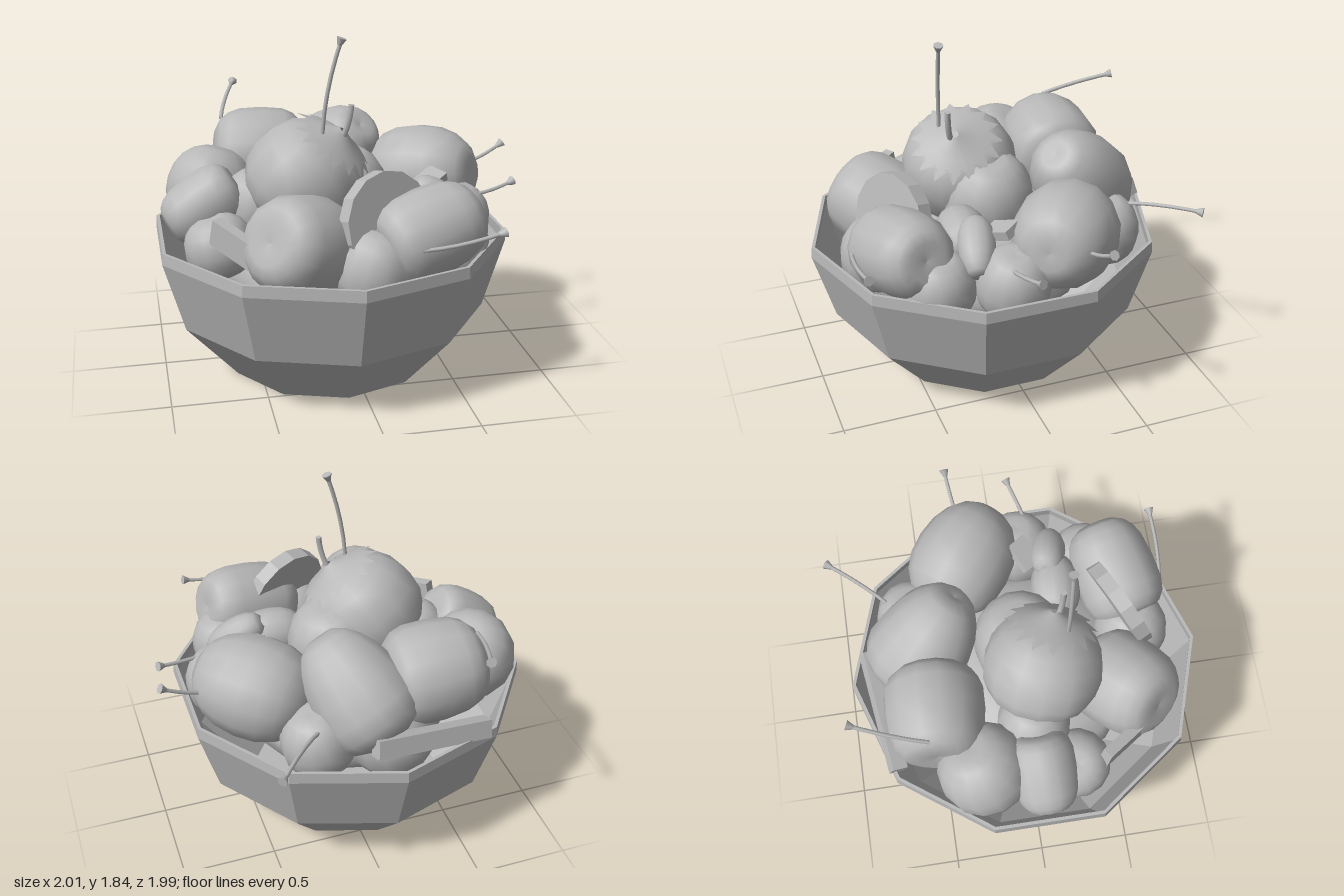
import * as THREE from 'three';

const UP = new THREE.Vector3(0, 1, 0);
const V = (a) => new THREE.Vector3(...a);

// Unit fruit: a squarish oval turned round its axis, narrowed at the top, dimpled at both ends
function fruitGeometry(squareness, taper) {
  const points = [];
  for (let i = 0; i <= 10; i++) {
    const a = (i / 10 - 0.5) * Math.PI;
    const x = Math.max(Math.cos(a), 0.0001) ** squareness;
    const y = Math.sign(a) * Math.abs(Math.sin(a)) ** squareness;
    const dimple = 1 - 0.1 * Math.max(0, 1 - x / 0.4);
    points.push(new THREE.Vector2(i % 10 ? x * (1 - taper * (y + 0.3)) : 0, y * dimple));
  }
  return new THREE.LatheGeometry(points, 14);
}

export function createModel() {
  const model = new THREE.Group();
  const grey = new THREE.MeshStandardMaterial({ color: 0xb8b8b8, side: THREE.DoubleSide });
  grey.name = 'grey';

  const add = (name, geometry, pos = [0, 0, 0], axis = [0, 1, 0], parent = model) => {
    const mesh = new THREE.Mesh(geometry, grey);
    mesh.name = name;
    mesh.position.set(...pos);
    mesh.quaternion.setFromUnitVectors(UP, V(axis).normalize());
    parent.add(mesh);
    return mesh;
  };
  const flat = (geometry) => {
    const g = geometry.toNonIndexed();
    g.computeVertexNormals();
    return g;
  };

  // Ten-sided bowl with a thin rim and open inside
  const wall = [[0, 0], [0.56, 0], [0.848, 0.33], [0.96, 0.715], [0.955, 0.775]];
  const inner = wall.slice().reverse().map(([r, y]) => [Math.max(0, r - 0.018), y < 0.7 ? y + 0.02 : y]);
  const section = [...wall, ...inner].map(([r, y]) => new THREE.Vector2(r, y));
  add('bowl', flat(new THREE.LatheGeometry(section, 10)), [-0.09, 0, 0.03]);

  // Large fruit: name, shape, centre, radius across, half length, axis
  const round = fruitGeometry(0.9, 0.05);
  const barrel = fruitGeometry(0.65, 0.06);
  const pear = fruitGeometry(0.8, 0.22);
  const fruit = (name, shape, pos, r, h, axis) => add(name, shape, pos, axis).scale.set(r, h, r);
  fruit('tomato', round, [-0.22, 1.07, 0.11], 0.325, 0.29, [0.55, 0.8, 0.25]);
  fruit('backLeftApple', barrel, [-0.395, 1.03, -0.49], 0.27, 0.265, [-1, 0.1, -0.05]);
  fruit('backPear', pear, [0.04, 1.01, -0.48], 0.28, 0.33, [0.35, 0.6, 0.5]);
  fruit('rightApple', round, [0.5, 0.94, -0.22], 0.28, 0.33, [0.75, 0.15, 0.6]);
  fruit('leftBackApple', round, [-0.69, 0.92, -0.28], 0.25, 0.23, [0.3, 0.9, -0.3]);
  fruit('leftApple', barrel, [-0.76, 0.92, 0.03], 0.18, 0.22, [-0.8, -0.5, 0.05]);
  fruit('leftSmallFruit', round, [-0.7, 0.76, 0.22], 0.19, 0.17, [-0.3, 1, 0]);
  fruit('frontLeftApple', barrel, [-0.33, 0.85, 0.55], 0.27, 0.26, [-0.6, 0.3, 0.5]);
  fruit('frontRightPear', barrel, [0.32, 0.9, 0.6], 0.235, 0.285, [0.9, 0.25, -0.22]);
  fruit('rightBerry', round, [0.27, 0.91, 0.26], 0.14, 0.19, [1, 0, 0.1]);
  fruit('rightCurvedFruit', round, [0.47, 0.94, 0.25], 0.1, 0.18, [0.8, -0.5, 0.2]);
  fruit('coreFruit', round, [-0.08, 0.58, 0.05], 0.6, 0.26, UP.toArray());

  // Rounder small fruit filling the gaps: centre and radius
  const small = (name, x, y, z, r) => fruit(name, round, [x, y, z], r, r, [0.2, 1, 0]);
  small('frontCherry', 0.03, 0.75, 0.65, 0.21);
  small('frontRightCherry', 0.48, 0.76, 0.46, 0.2);
  small('rightCherry', 0.6, 0.78, 0.1, 0.2);
  small('backRightCherry', 0.26, 0.79, -0.55, 0.2);
  small('middleApple', -0.02, 0.95, 0.02, 0.26);
  small('innerLeftFruit', -0.48, 0.9, 0.02, 0.2);
  small('backFruit', -0.15, 0.72, -0.5, 0.25);

  // Spiky calyx draped over the tomato: the rim alternates tip and notch
  const spikes = 15;
  const calyx = new THREE.RingGeometry(0.02, 0.25, spikes * 2, 4);
  calyx.rotateX(-Math.PI / 2);
  const p = calyx.attributes.position;
  for (let i = 0; i < p.count; i++) {
    const r = Math.hypot(p.getX(i), p.getZ(i));
    const column = i % (spikes * 2 + 1);
    const k = r > 0.22 && column % 2 ? 0.72 : 1;
    const y = 0.04 * Math.max(0, 1 - r / 0.1) - 1.2 * (r * k) ** 2;
    p.setXYZ(i, p.getX(i) * k, y, p.getZ(i) * k);
  }
  calyx.computeVertexNormals();
  add('calyx', calyx, [-0.055, 1.31, 0.185], [0.55, 0.8, 0.25]);

  // Curved stems with a flared end: start, bend, end
  const stem = (name, a, b, c, r = 0.011, head = 0.027) => {
    const curve = new THREE.QuadraticBezierCurve3(V(a), V(b), V(c));
    const group = new THREE.Group();
    group.name = name;
    model.add(group);
    add('stalk', new THREE.TubeGeometry(curve, 6, r, 6), [0, 0, 0], [0, 1, 0], group);
    const dir = curve.getTangent(1);
    const mid = V(c).addScaledVector(dir, -0.02);
    add('stalkEnd', new THREE.CylinderGeometry(head, r, 0.04, 7), mid.toArray(), dir.toArray(), group);
  };
  stem('tomatoStem', [-0.07, 1.26, 0.19], [-0.02, 1.33, 0.24], [-0.005, 1.48, 0.24], 0.016, 0.016);
  stem('topStem', [-0.16, 1.25, 0.24], [-0.16, 1.53, 0.25], [-0.06, 1.83, 0.265]);
  stem('backLeftStem', [-0.6, 1.24, -0.53], [-0.57, 1.3, -0.7], [-0.485, 1.36, -0.92]);
  stem('backRightStem', [0.22, 0.9, -0.6], [0.36, 0.98, -0.72], [0.57, 0.96, -0.98]);
  stem('rightStem', [0.7, 0.97, -0.22], [0.84, 0.98, -0.24], [0.99, 1.08, -0.26]);
  stem('rightFrontStem', [0.58, 0.92, 0.18], [0.78, 0.91, 0.14], [0.94, 0.96, 0.08]);
  stem('frontStem', [0.14, 0.89, 0.82], [0.35, 0.9, 0.88], [0.635, 0.965, 0.85]);

  // Cut slices and chunks tucked between the fruit
  add('roundSlice', flat(new THREE.CylinderGeometry(0.26, 0.26, 0.08, 14)), [0.1, 0.96, 0.58], [0.4, 0.22, 0.87]);
  const chunk = (name, size, pos, rot) => {
    add(name, new THREE.BoxGeometry(...size), pos).rotation.set(...rot);
  };
  chunk('backStick', [0.66, 0.1, 0.08], [-0.28, 0.83, -0.77], [0.3, 0.16, 0.1]);
  chunk('leftSlab', [0.5, 0.14, 0.06], [-0.59, 0.84, 0.56], [0, -0.95, -0.22]);
  chunk('rightChunk', [0.17, 0.05, 0.12], [0.45, 1, 0.11], [0.2, 0.6, 0.25]);

  return model;
}
